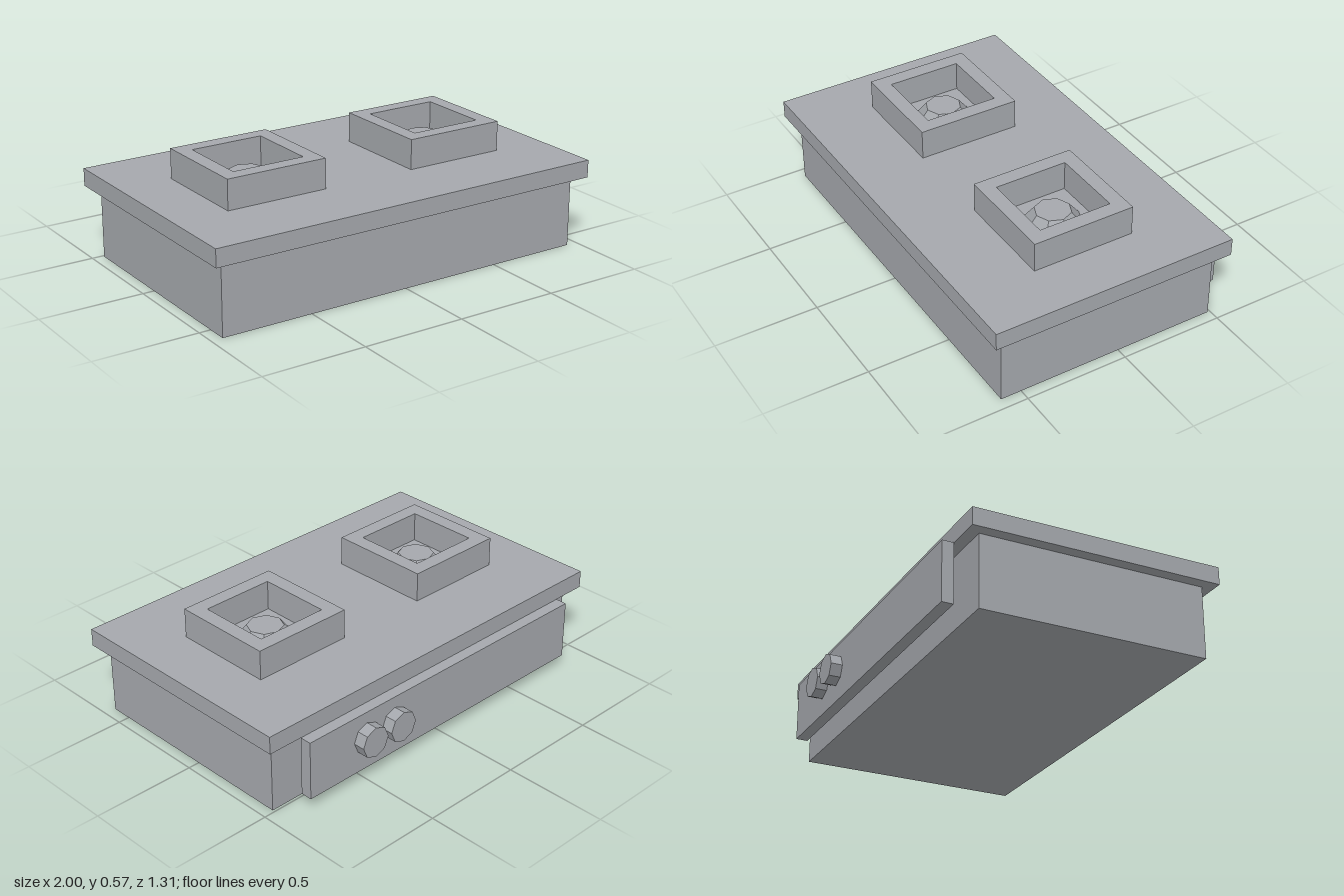
import * as THREE from 'three';

export function createModel() {
  const model = new THREE.Group();
  model.name = 'stovetop';
  const grey = new THREE.MeshStandardMaterial({ color: 0xa5a8ad, flatShading: true });
  grey.name = 'grey metal';

  const add = (name, geometry, x, y, z) => {
    const mesh = new THREE.Mesh(geometry, grey);
    mesh.name = name;
    mesh.position.set(x, y, z);
    model.add(mesh);
    return mesh;
  };

  // Box given by its width and its y and z ranges, centred on x = 0
  const slab = (name, width, y0, y1, z0, z1) =>
    add(name, new THREE.BoxGeometry(width, y1 - y0, z1 - z0), 0, (y0 + y1) / 2, (z0 + z1) / 2);

  slab('body', 1.89, 0, 0.345, -0.488, 0.6);
  slab('worktop', 2, 0.345, 0.43, -0.545, 0.656);
  slab('controlPanel', 1.656, 0.058, 0.345, -0.601, -0.545);

  // Square burner frame with a square opening
  const square = (Type, h) => new Type([
    new THREE.Vector2(-h, -h), new THREE.Vector2(h, -h),
    new THREE.Vector2(h, h), new THREE.Vector2(-h, h),
  ]);
  const outline = square(THREE.Shape, 0.251);
  outline.holes.push(square(THREE.Path, 0.179));
  const frame = new THREE.ExtrudeGeometry(outline, { depth: 0.144, bevelEnabled: false });
  frame.rotateX(-Math.PI / 2);

  // Tapered eight-sided burner inside each frame
  const burner = new THREE.CylinderGeometry(0.085, 0.138, 0.066, 8);
  for (const [side, x] of [['left', 0.485], ['right', -0.485]]) {
    add(side + 'BurnerFrame', frame, x, 0.43, 0.056);
    add(side + 'Burner', burner, x, 0.463, 0.054);
  }

  // Eight-sided knobs on the control panel
  const knob = new THREE.CylinderGeometry(0.075, 0.075, 0.056, 8);
  knob.rotateX(Math.PI / 2);
  add('outerKnob', knob, 0.495, 0.216, -0.629);
  add('innerKnob', knob, 0.325, 0.216, -0.629);

  return model;
}
